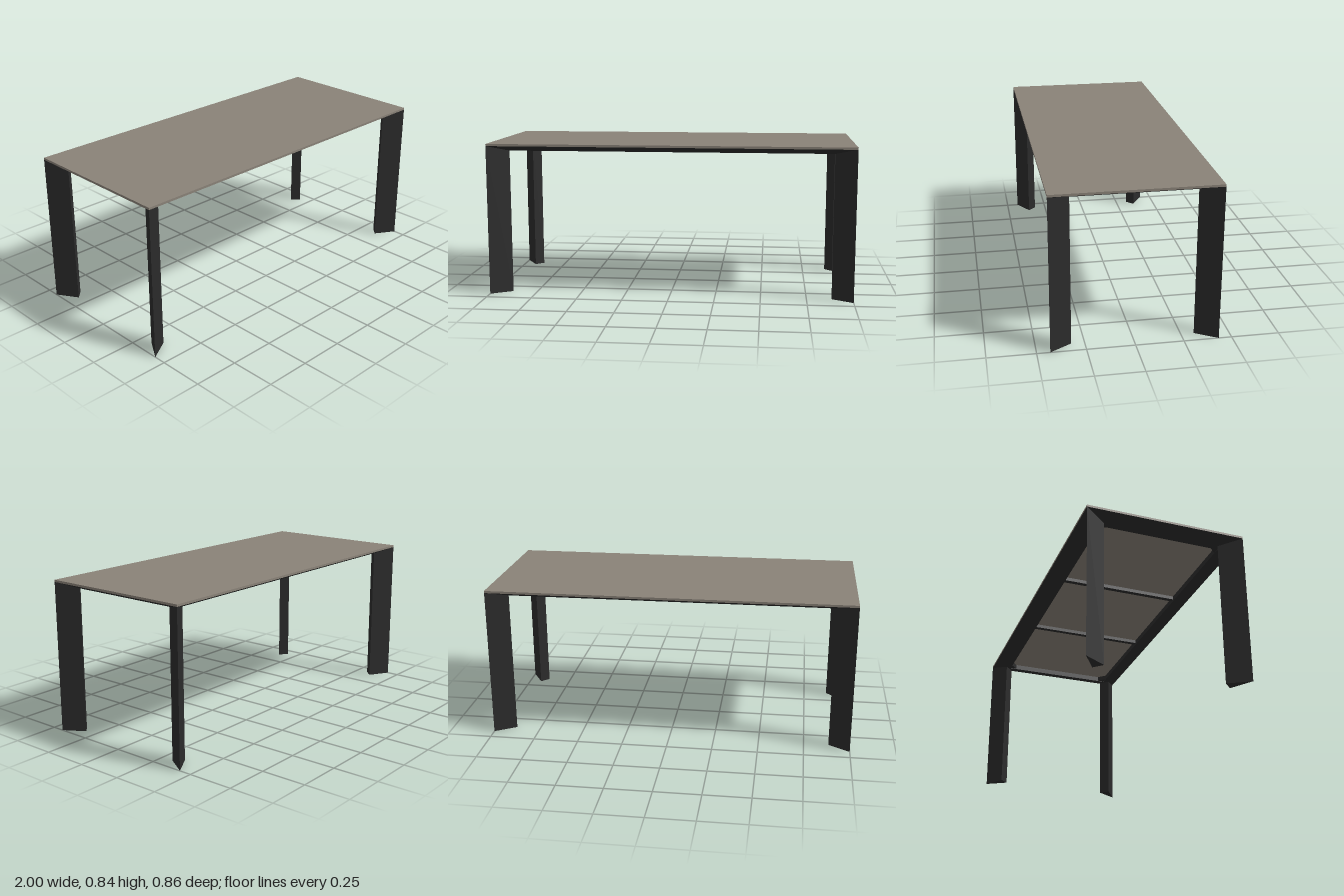
import * as THREE from 'three';

const HX = 1, HZ = 0.432, TOP = 0.837, UNDER = 0.825, RAIL = 0.795;
const CORNERS = [[1, 1], [1, -1], [-1, -1], [-1, 1]];

// Rectangular mitred ring swept from a profile of [inset, height] points
function ringGeometry(profile) {
  const pos = [];
  const at = (k, [inset, y]) => {
    const [sx, sz] = CORNERS[k % 4];
    return [sx * (HX - inset), y, sz * (HZ - inset)];
  };
  for (let k = 0; k < 4; k++) {
    for (let i = 0; i < profile.length - 1; i++) {
      const a = at(k, profile[i]), b = at(k + 1, profile[i]);
      const c = at(k + 1, profile[i + 1]), d = at(k, profile[i + 1]);
      pos.push(...a, ...d, ...c, ...a, ...c, ...b);
    }
  }
  const geo = new THREE.BufferGeometry();
  geo.setAttribute('position', new THREE.Float32BufferAttribute(pos, 3));
  geo.computeVertexNormals();
  return geo;
}

// Upright prism from plan points [x, z], between two heights
function prism(points, y0, y1) {
  const shape = new THREE.Shape(points.map(([x, z]) => new THREE.Vector2(x, -z)));
  const geo = new THREE.ExtrudeGeometry(shape, { depth: y1 - y0, bevelEnabled: false });
  return geo.rotateX(-Math.PI / 2).translate(0, y0, 0);
}

export function createModel() {
  const model = new THREE.Group();
  const stone = new THREE.MeshStandardMaterial({ color: 0x8a8278 });
  stone.name = 'warm grey top';
  const black = new THREE.MeshStandardMaterial({ color: 0x2b2b2b });
  black.name = 'black metal';

  const add = (name, geo, mat) => {
    const mesh = new THREE.Mesh(geo, mat);
    mesh.name = name;
    model.add(mesh);
    return mesh;
  };

  // Thin top
  add('tableTop', new THREE.BoxGeometry(2 * HX, TOP - UNDER, 2 * HZ)
    .translate(0, (TOP + UNDER) / 2, 0), stone);

  // Apron with a bevelled outer face, mitred at the corners
  add('apron', ringGeometry([[0, UNDER], [0.07, RAIL], [0.1, RAIL], [0.1, UNDER]]), black);

  // Wedge legs pointing outwards, each with a small gusset behind
  for (const [sx, sz] of CORNERS) {
    const side = (sz > 0 ? 'front' : 'back') + (sx > 0 ? 'Left' : 'Right');
    const place = ([dx, dz]) => [sx * (HX - dx), sz * (HZ - dz)];
    add(side + 'Leg', prism([[0, 0], [0.114, 0.07], [0.07, 0.114]].map(place), 0, UNDER), black);
    add(side + 'Gusset', prism([[0.09, 0.09], [0.15, 0.09], [0.09, 0.15]].map(place),
      RAIL + 0.003, UNDER), black);
  }

  // Two cross bars under the top
  for (const x of [-0.3, 0.3]) {
    add('crossBar', new THREE.BoxGeometry(0.025, 0.02, 2 * (HZ - 0.09))
      .translate(x, UNDER - 0.01, 0), black);
  }
  return model;
}
